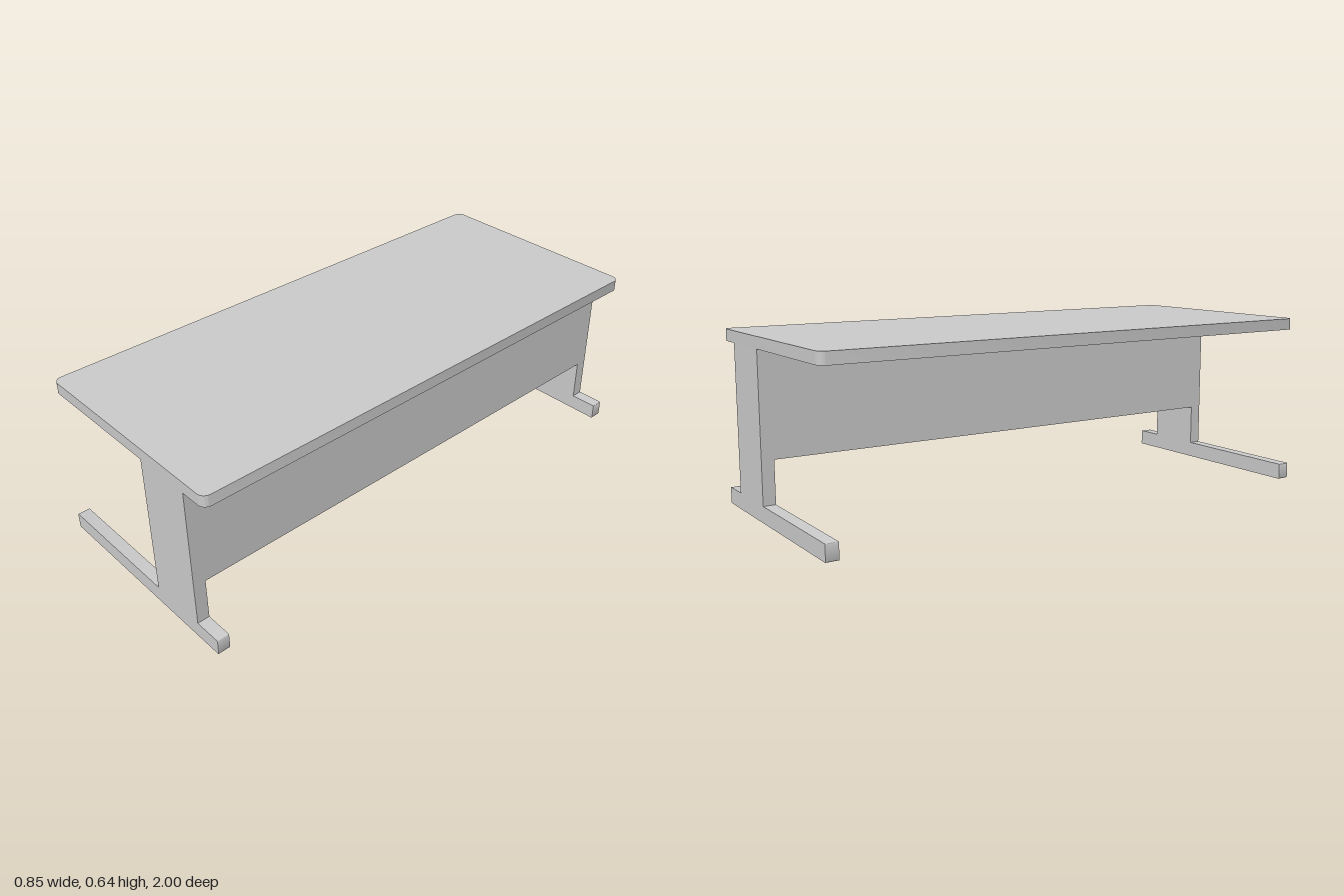
import * as THREE from 'three';
import { toCreasedNormals } from 'three/addons/utils/BufferGeometryUtils.js';

const material = new THREE.MeshStandardMaterial({ color: 0xcccccc });
const HALF_W = 0.426;                 // half width of top and feet
const POST = { x0: 0.095, x1: 0.32 }; // upright span in x
const TOP_Y = 0.6, LEG_T = 0.046;

// Rounded rectangle centred on the given point
function roundedRect(w, h, r, cx = 0, cy = 0) {
  const x = w / 2, y = h / 2, s = new THREE.Shape();
  s.absarc(cx + x - r, cy + y - r, r, 0, Math.PI / 2);
  s.absarc(cx - x + r, cy + y - r, r, Math.PI / 2, Math.PI);
  s.absarc(cx - x + r, cy - y + r, r, Math.PI, Math.PI * 1.5);
  s.absarc(cx + x - r, cy - y + r, r, Math.PI * 1.5, Math.PI * 2);
  s.closePath();
  return s;
}

function extruded(name, shape, depth) {
  const geo = new THREE.ExtrudeGeometry(shape, { depth, bevelEnabled: false, curveSegments: 8 });
  const mesh = new THREE.Mesh(toCreasedNormals(geo, 0.6), material);
  mesh.name = name;
  return mesh;
}

// Inverted T profile: long foot with softened ends and an off-centre upright
function legShape() {
  const h = 0.06, c = 0.004, s = new THREE.Shape();
  s.moveTo(-HALF_W + c, 0);
  s.lineTo(HALF_W - c, 0);
  s.quadraticCurveTo(HALF_W, 0, HALF_W, c);
  s.lineTo(HALF_W, h - c);
  s.quadraticCurveTo(HALF_W, h, HALF_W - c, h);
  s.lineTo(POST.x1, h);
  s.lineTo(POST.x1, TOP_Y);
  s.lineTo(POST.x0, TOP_Y);
  s.lineTo(POST.x0, h);
  s.lineTo(-HALF_W + c, h);
  s.quadraticCurveTo(-HALF_W, h, -HALF_W, h - c);
  s.lineTo(-HALF_W, c);
  s.quadraticCurveTo(-HALF_W, 0, -HALF_W + c, 0);
  return s;
}

export function createModel() {
  const desk = new THREE.Group();
  desk.name = 'desk';

  // Desktop slab with rounded corners
  const top = extruded('desktop', roundedRect(HALF_W * 2, 2, 0.03), 0.043);
  top.rotation.x = -Math.PI / 2;
  top.position.y = TOP_Y;
  desk.add(top);

  // One leg at each end, flush with the desktop
  for (const [name, z] of [['frontLeg', 1 - LEG_T], ['backLeg', -1]]) {
    const leg = extruded(name, legShape(), LEG_T);
    leg.position.z = z;
    desk.add(leg);
  }

  // Deep beam joining the uprights
  const beamBottom = 0.218, height = TOP_Y - beamBottom;
  const beam = new THREE.Mesh(
    new THREE.BoxGeometry(POST.x1 - POST.x0, height, 2 - 2 * LEG_T), material);
  beam.name = 'beam';
  beam.position.set((POST.x0 + POST.x1) / 2, beamBottom + height / 2, 0);
  desk.add(beam);

  return desk;
}
